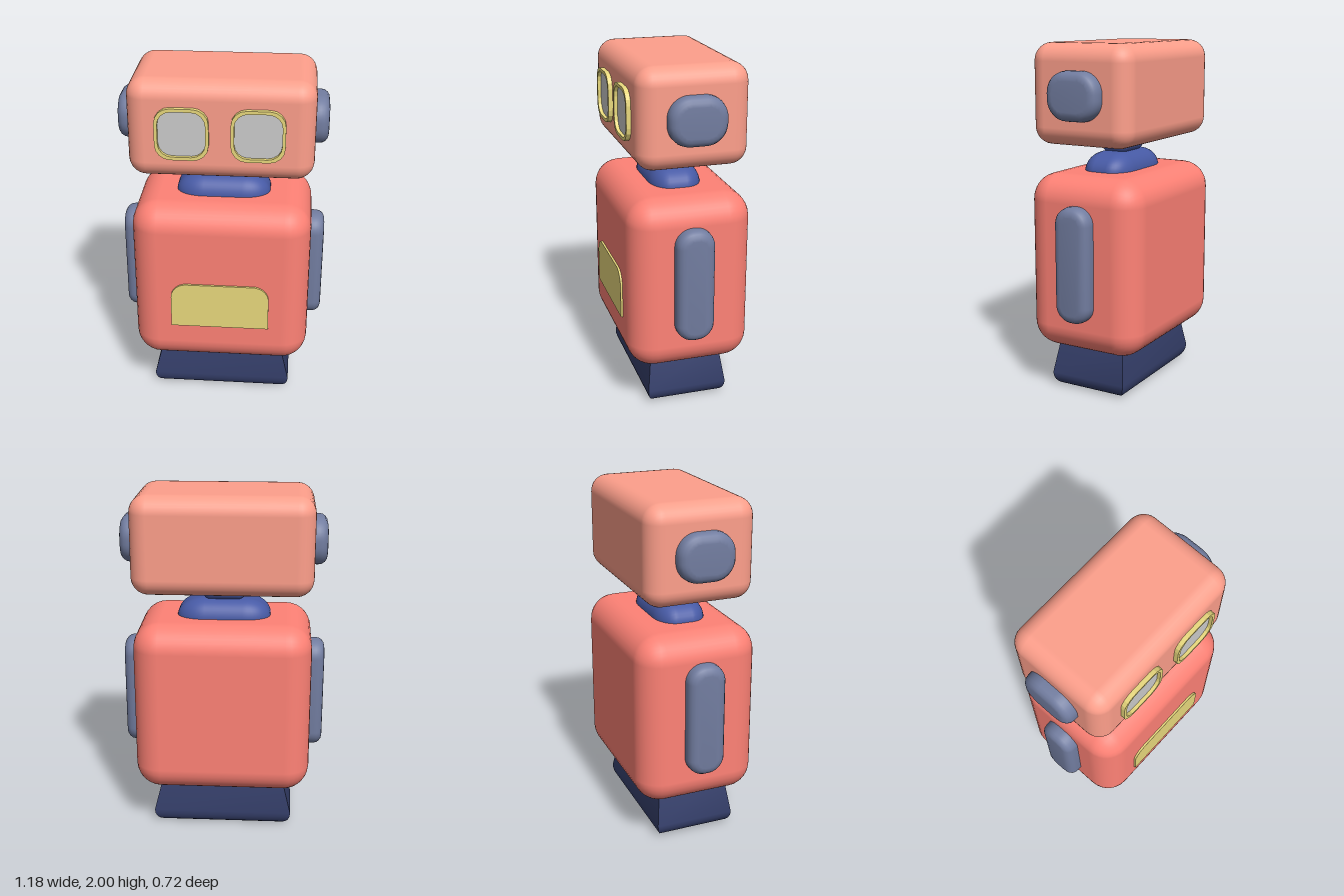
import * as THREE from 'three';
import { toCreasedNormals } from 'three/addons/utils/BufferGeometryUtils.js';
import { RoundedBoxGeometry } from 'three/addons/geometries/RoundedBoxGeometry.js';

const paint = (color) => new THREE.MeshStandardMaterial({ color });
const coral = paint(0xff8276), peach = paint(0xfe9f8b), slate = paint(0x727da0);
const blue = paint(0x475aa5), navy = paint(0x36406c), yellow = paint(0xe9d97d), grey = paint(0xcccccc);

// Rounded rectangle centred on the origin; top and bottom corners may differ.
function roundedRect(w, h, rTop, rBottom = rTop, Type = THREE.Shape) {
  const s = new Type(), x = w / 2, y = h / 2;
  s.moveTo(x, -y + rBottom);
  s.lineTo(x, y - rTop);
  if (rTop) s.absarc(x - rTop, y - rTop, rTop, 0, Math.PI / 2);
  s.lineTo(-x + rTop, y);
  if (rTop) s.absarc(-x + rTop, y - rTop, rTop, Math.PI / 2, Math.PI);
  s.lineTo(-x, -y + rBottom);
  if (rBottom) s.absarc(-x + rBottom, -y + rBottom, rBottom, Math.PI, Math.PI * 1.5);
  s.lineTo(x - rBottom, -y);
  if (rBottom) s.absarc(x - rBottom, -y + rBottom, rBottom, Math.PI * 1.5, Math.PI * 2);
  return s;
}

// Side pad facing +x from x = 0, with a soft outer edge.
function padGeometry(w, h, r, depth, bevel) {
  const g = new THREE.ExtrudeGeometry(roundedRect(w - 2 * bevel, h - 2 * bevel, r - bevel), {
    depth: depth - 2 * bevel, bevelEnabled: true, bevelSize: bevel,
    bevelThickness: bevel, bevelSegments: 4, curveSegments: 5,
  });
  g.translate(0, 0, bevel).rotateY(Math.PI / 2);
  return toCreasedNormals(g, 0.6);
}

// Tapered foot: a box whose rows follow [y, half width, half depth].
function footGeometry(rows) {
  const n = rows.length - 1;
  const g = new THREE.BoxGeometry(2, 1, 2, 1, n, 1), p = g.attributes.position;
  for (let i = 0; i < p.count; i++) {
    const [y, hx, hz] = rows[Math.round((p.getY(i) + 0.5) * n)];
    p.setXYZ(i, p.getX(i) * hx, y, p.getZ(i) * hz);
  }
  return toCreasedNormals(g, 0.7);
}

export function createModel() {
  const model = new THREE.Group();
  model.name = 'robot';
  const add = (name, geometry, material, x = 0, y = 0, z = 0) => {
    const mesh = new THREE.Mesh(geometry, material);
    mesh.name = name;
    mesh.position.set(x, y, z);
    model.add(mesh);
    return mesh;
  };

  // Foot, with a rounded lower rim
  const rows = [];
  for (let i = 0; i <= 5; i++) {
    const a = (i / 5) * Math.PI / 2;
    rows.push([0.08 - 0.08 * Math.cos(a), 0.34 + 0.07 * Math.sin(a), 0.185 + 0.05 * Math.sin(a)]);
  }
  rows.push([0.3, 0.355, 0.205]);
  add('foot', footGeometry(rows), navy);

  // Torso and head blocks
  add('body', new RoundedBoxGeometry(1.02, 1.015, 0.71, 4, 0.15), coral, 0, 0.765, -0.005);
  add('head', new RoundedBoxGeometry(1.02, 0.56, 0.625, 4, 0.1), peach, 0, 1.72, -0.008);

  // Shoulder dome and neck
  add('neckBase', new RoundedBoxGeometry(0.372, 0.36, 0.3, 5, 0.11), blue, 0, 1.195, 0).scale.x = 1.45;
  add('neck', new RoundedBoxGeometry(0.25, 0.14, 0.18, 4, 0.05), blue, 0, 1.435, 0);

  // Chest plate with rounded upper corners
  const plate = new THREE.ExtrudeGeometry(roundedRect(0.565, 0.28, 0.09, 0),
    { depth: 0.06, bevelEnabled: false, curveSegments: 5 });
  add('chestPlate', plate, yellow, 0, 0.665, 0.302);

  // Eyes: a faceted rim around a recessed lens
  const rimShape = roundedRect(0.292, 0.292, 0.085);
  rimShape.holes.push(roundedRect(0.256, 0.256, 0.075, 0.075, THREE.Path));
  const rim = new THREE.ExtrudeGeometry(rimShape, { depth: 0.05, bevelEnabled: false, curveSegments: 2 });
  const lens = new THREE.ExtrudeGeometry(roundedRect(0.26, 0.26, 0.076),
    { depth: 0.03, bevelEnabled: false, curveSegments: 2 });

  // Paired parts
  const ear = padGeometry(0.325, 0.27, 0.12, 0.16, 0.05);
  const arm = padGeometry(0.22, 0.66, 0.1, 0.16, 0.05);
  for (const [side, s] of [['left', 1], ['right', -1]]) {
    add(side + 'EyeRim', rim, yellow, s * 0.205, 1.718, 0.28);
    add(side + 'EyeLens', lens, grey, s * 0.205, 1.718, 0.28);
    const turn = s > 0 ? 0 : Math.PI;
    add(side + 'Ear', ear, slate, s * 0.423, 1.72, -0.008).rotation.y = turn;
    add(side + 'Arm', arm, slate, s * 0.428, 0.79, 0).rotation.y = turn;
  }
  return model;
}
